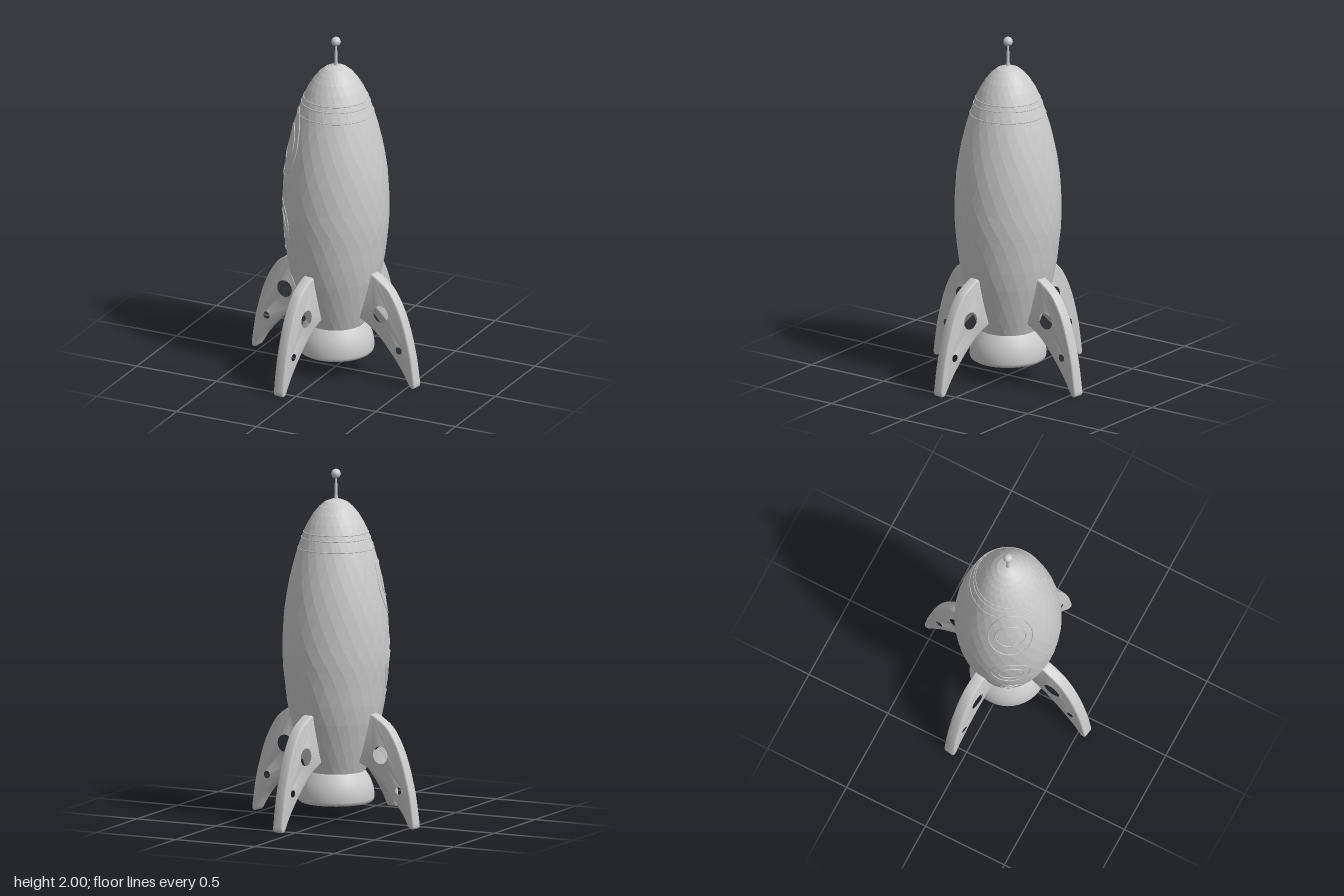
import * as THREE from 'three';
import { toCreasedNormals } from 'three/addons/utils/BufferGeometryUtils.js';

const v2 = (p) => new THREE.Vector2(p[0], p[1]);
const hullProfile = new THREE.SplineCurve([
  [0.16, 0.27], [0.205, 0.4], [0.265, 0.62], [0.295, 0.85], [0.302, 1.0], [0.291, 1.2],
  [0.257, 1.4], [0.2, 1.6], [0.14, 1.73], [0.07, 1.81], [0, 1.835],
].map(v2));
const fine = hullProfile.getPoints(200);

// hull radius at a height
function hullRadius(y) {
  const i = Math.max(1, fine.findIndex((p) => p.y >= y));
  const a = fine[i - 1], b = fine[i];
  return a.x + (b.x - a.x) * (y - a.y) / (b.y - a.y);
}

export function createModel() {
  const group = new THREE.Group();
  const smooth = new THREE.MeshStandardMaterial({ color: 0xcccccc });
  const faceted = new THREE.MeshStandardMaterial({ color: 0xcccccc, flatShading: true });
  const add = (name, geometry, material = smooth) => {
    const mesh = new THREE.Mesh(geometry, material);
    mesh.name = name;
    group.add(mesh);
    return mesh;
  };

  // Hull: each row is turned half a step further, giving triangular facets
  const sides = 26, rows = 22;
  const hull = new THREE.LatheGeometry(hullProfile.getPoints(rows), sides);
  const pos = hull.attributes.position;
  const v = new THREE.Vector3(), up = new THREE.Vector3(0, 1, 0);
  for (let i = 0; i < pos.count; i++) {
    v.fromBufferAttribute(pos, i).applyAxisAngle(up, (i % (rows + 1)) * Math.PI / sides);
    pos.setXYZ(i, v.x, v.y, v.z);
  }
  add('hull', hull, faceted);

  // Hollow exhaust bell with a rounded rim
  const bell = [
    [0, 0.25], [0.12, 0.24], [0.155, 0.2], [0.17, 0.13], [0.175, 0.115], [0.185, 0.108],
    [0.2, 0.108], [0.211, 0.115], [0.216, 0.13], [0.215, 0.165], [0.209, 0.2],
    [0.194, 0.24], [0.172, 0.275], [0.162, 0.29], [0.15, 0.3],
  ].map(v2);
  add('exhaustBell', new THREE.LatheGeometry(bell, 40));

  // Antenna and ball
  const rod = new THREE.CylinderGeometry(0.005, 0.011, 0.15, 16);
  add('antennaRod', rod.translate(0, 1.895, 0));
  const ball = new THREE.SphereGeometry(0.027, 24, 16);
  add('antennaBall', ball.translate(0, 1.973, 0));

  // Fine trim lines round the nose
  for (const y of [1.555, 1.615, 1.645]) {
    const ring = new THREE.TorusGeometry(hullRadius(y) - 0.001, 0.003, 6, 64);
    add('noseTrim', ring.rotateX(Math.PI / 2).translate(0, y, 0));
  }

  // Porthole rims traced on the hull: height, half height, half width
  const facing = Math.PI - 0.54;
  const rims = [
    [1.38, 0.2, 0.13], [1.38, 0.1, 0.088],
    [0.88, 0.15, 0.115], [0.88, 0.085, 0.075],
    [0.5, 0.075, 0.062], [0.5, 0.04, 0.037],
  ];
  for (const [cy, h, w] of rims) {
    const pts = [];
    for (let i = 0; i < 32; i++) {
      const t = i / 32 * Math.PI * 2;
      const y = cy + h * Math.sin(t);
      const r = hullRadius(y) - 0.001;
      const a = facing + w * Math.cos(t) / hullRadius(cy);
      pts.push(new THREE.Vector3(r * Math.cos(a), y, r * Math.sin(a)));
    }
    const path = new THREE.CatmullRomCurve3(pts, true);
    add('portholeRim', new THREE.TubeGeometry(path, 64, 0.004, 6, true));
  }

  // Swept fin with two holes, bevelled edges
  const fin = new THREE.Shape();
  fin.moveTo(0.17, 0.63);
  fin.lineTo(0.265, 0.632);
  fin.splineThru([[0.3, 0.618], [0.39, 0.553], [0.47, 0.415], [0.53, 0.22], [0.562, 0.03]].map(v2));
  fin.quadraticCurveTo(0.564, 0.0, 0.545, 0.002);
  fin.quadraticCurveTo(0.53, 0.003, 0.52, 0.02);
  fin.splineThru([[0.48, 0.085], [0.418, 0.163], [0.33, 0.255], [0.26, 0.31], [0.19, 0.345]].map(v2));
  fin.lineTo(0.15, 0.36);
  fin.closePath();
  for (const [x, y, r] of [[0.331, 0.405, 0.06], [0.456, 0.214, 0.031]]) {
    fin.holes.push(new THREE.Path().absarc(x, y, r, 0, Math.PI * 2, true));
  }
  const bevel = 0.01, thickness = 0.066;
  const finGeometry = toCreasedNormals(new THREE.ExtrudeGeometry(fin, {
    depth: thickness - 2 * bevel, curveSegments: 18, bevelEnabled: true,
    bevelSize: bevel, bevelThickness: bevel, bevelOffset: -bevel, bevelSegments: 3,
  }).translate(0, 0, bevel - thickness / 2), 0.6);
  for (let i = 0; i < 4; i++) {
    add('fin', finGeometry).rotation.y = -0.155 + i * Math.PI / 2;
  }
  return group;
}
